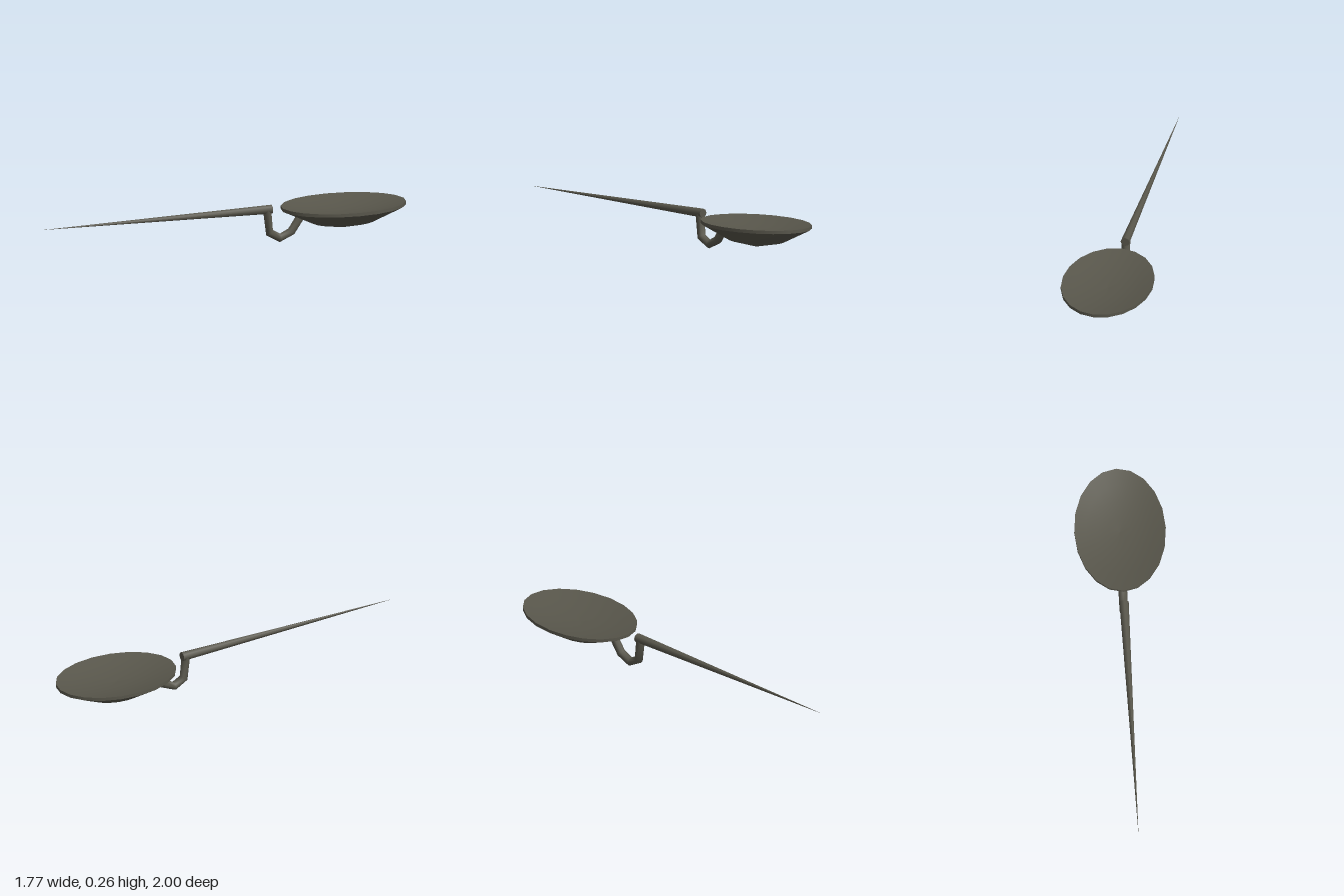
import * as THREE from 'three';

// Polyline curve that keeps its corners, so a tube gets one ring per point
class BentPath extends THREE.Curve {
  constructor(points) {
    super();
    this.points = points;
  }
  getPointAt(t, target = new THREE.Vector3()) {
    const last = this.points.length - 1;
    const i = Math.min(Math.floor(t * last + 1e-6), last - 1);
    return target.lerpVectors(this.points[i], this.points[i + 1], t * last - i);
  }
  getPoint(t, target) {
    return this.getPointAt(t, target);
  }
  getTangentAt(t, target = new THREE.Vector3()) {
    const p = this.points, last = p.length - 1;
    const i = Math.round(t * last);
    const before = p[i].clone().sub(p[Math.max(i - 1, 0)]).normalize();
    const after = p[Math.min(i + 1, last)].clone().sub(p[i]).normalize();
    return target.copy(before).add(after).normalize();
  }
}

export function createModel() {
  const metal = new THREE.MeshStandardMaterial({ color: 0x58564b });
  metal.name = 'dark olive metal';

  const model = new THREE.Group();
  model.name = 'ladle';

  // Everything is built along local +x, starting at the needle tip
  const axis = new THREE.Group();
  axis.name = 'ladleAxis';
  axis.position.set(-0.885, 0, 1);
  axis.rotation.y = 0.856;
  model.add(axis);

  const add = (name, geometry, parent = axis) => {
    const mesh = new THREE.Mesh(geometry, metal);
    mesh.name = name;
    parent.add(mesh);
    return mesh;
  };

  // Long handle tapering to a needle point
  const length = 1.636;
  const handle = new THREE.CylinderGeometry(0.031, 0.0002, length, 8);
  handle.rotateZ(-Math.PI / 2);
  handle.translate(length / 2, 0.229, 0);
  add('handle', handle);

  // Bent neck dropping from the handle and rising into the bowl
  const neck = [
    [1.605, 0.226], [1.622, 0.07], [1.696, 0.029], [1.777, 0.066], [1.84, 0.158],
  ].map(([s, y]) => new THREE.Vector3(s, y, 0));
  add('neck', new THREE.TubeGeometry(new BentPath(neck), neck.length - 1, 0.029, 8));

  // Oval bowl: underside, thin rim band and shallow hollow
  const bowl = new THREE.Group();
  bowl.name = 'bowl';
  bowl.position.set(2.147, 0, 0.003);
  axis.add(bowl);
  const oval = (name, profile) => {
    const points = profile.map(([r, y]) => new THREE.Vector2(r, y));
    add(name, new THREE.LatheGeometry(points, 20).scale(0.431, 1, 0.304), bowl);
  };
  oval('bowlUnderside', [[0, 0.063], [0.5, 0.104], [1, 0.204]]);
  oval('bowlRim', [[1, 0.204], [1, 0.226]]);
  oval('bowlHollow', [1, 0.75, 0.5, 0.25, 0].map((r) => [r, 0.178 + 0.048 * r * r]));

  return model;
}
